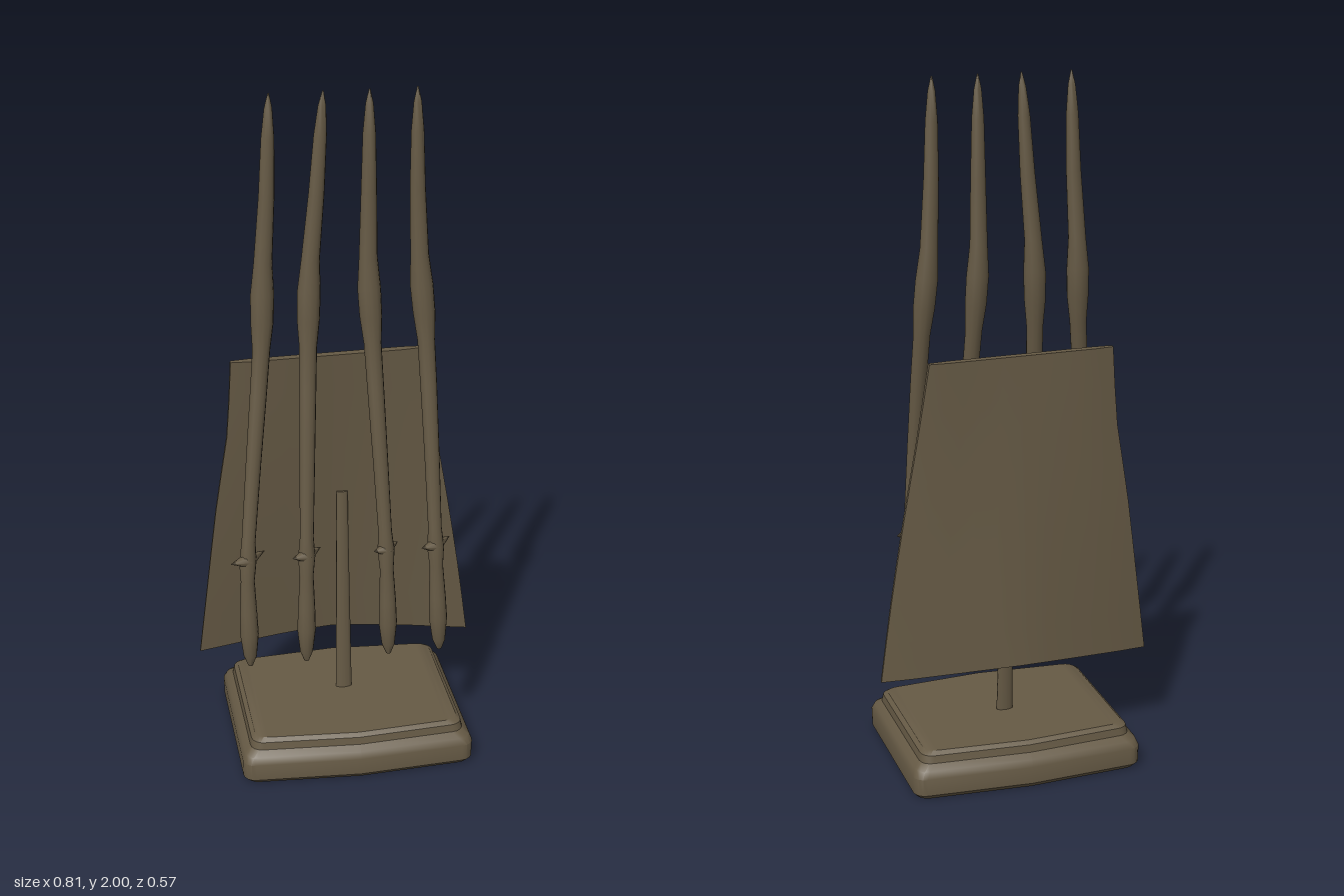
import * as THREE from 'three';
import { toCreasedNormals } from 'three/addons/utils/BufferGeometryUtils.js';

// Skin a stack of closed rings (each turning from +x towards +z), capped at both ends
function loft(rings, crease) {
  const n = rings[0].length;
  const pos = [], idx = [];
  rings.forEach(r => r.forEach(p => pos.push(...p)));
  for (let i = 0; i < rings.length - 1; i++) {
    for (let j = 0; j < n; j++) {
      const k = (j + 1) % n;
      const a = i * n + j, b = i * n + k, c = b + n, d = a + n;
      idx.push(a, d, c, a, c, b);
    }
  }
  // caps, joined across so that long thin sections stay clean
  const top = (rings.length - 1) * n;
  for (let lo = 0, hi = n - 1; lo + 1 <= hi - 1 || hi - lo > 1; lo++, hi--) {
    idx.push(lo, lo + 1, hi, top + lo, top + hi, top + lo + 1);
    if (hi - 1 > lo + 1) idx.push(lo + 1, hi - 1, hi, top + lo + 1, top + hi, top + hi - 1);
  }
  const g = new THREE.BufferGeometry();
  g.setAttribute('position', new THREE.Float32BufferAttribute(pos, 3));
  g.setIndex(idx);
  return toCreasedNormals(g, crease);
}

// Smooth curve through [y, value] knots, read off by y
function along(knots, y) {
  let i = 0;
  while (i < knots.length - 2 && y > knots[i + 1][0]) i++;
  const slope = k => {
    const a = knots[Math.max(k - 1, 0)], b = knots[Math.min(k + 1, knots.length - 1)];
    return (b[1] - a[1]) / (b[0] - a[0]);
  };
  const [y0, v0] = knots[i], [y1, v1] = knots[i + 1];
  const h = y1 - y0, t = (y - y0) / h, t2 = t * t, t3 = t2 * t;
  return (2 * t3 - 3 * t2 + 1) * v0 + (t3 - 2 * t2 + t) * h * slope(i)
    + (3 * t2 - 2 * t3) * v1 + (t3 - t2) * h * slope(i + 1);
}

// Six-sided outline with rounded corners, shrunk by an inset
function baseRing(y, inset) {
  const w = 0.3425 - inset, side = 0.265 - inset, apex = 0.284 - inset, r = 0.035;
  const corner = [];
  for (let i = 0; i <= 4; i++) {
    const a = (i / 4) * Math.PI / 2;
    corner.push([w - r + r * Math.cos(a), side - r + r * Math.sin(a)]);
  }
  const front = [...corner, [0, apex], ...corner.map(([x, z]) => [-x, z]).reverse()];
  const back = front.map(([x, z]) => [-x, -z]);
  return [...front, ...back].map(([x, z]) => [x + 0.0225, y, z]);
}

// One horizontal slice of the bowed panel; v runs from bottom to top
function panelRing(v) {
  const N = 10, front = [], back = [];
  const left = -along([[0, 0.408], [0.25, 0.38], [0.55, 0.345], [0.75, 0.315], [1, 0.3]], v);
  const right = along([[0, 0.405], [0.25, 0.372], [0.55, 0.325], [0.75, 0.29], [1, 0.25]], v);
  const half = 0.007 + 0.005 * v;
  for (let i = 0; i <= N; i++) {
    const s = i / N, u = 1 - 2 * s;
    const bow = 1 - Math.pow(Math.abs(u), 1.35);
    const x = right + (left - right) * s;
    const edge = -0.047 + v * (0.002 + 0.018 * s);
    const z = edge - 0.053 * (1 - v) * bow;
    const y = THREE.MathUtils.lerp(0.283 + 0.02 * bow, 1.22, v);
    const t = half * (Math.abs(u) === 1 ? 0.6 : 1);
    front.push([x, y, z + t]);
    back.unshift([x, y, z - t]);
  }
  return [...front, ...back];
}

const LEVELS = [0.34, 0.65, 1.0, 1.3, 1.5, 1.7, 2.0];
const LEAN_Z = [0.137, 0.118, 0.083, 0.045, 0.034, 0.034, 0.034];
const GIRTH = [[0.33, 0.007], [0.36, 0.019], [0.43, 0.027], [0.5, 0.025], [0.6, 0.02], [0.66, 0.025],
  [0.72, 0.02], [0.95, 0.022], [1.15, 0.024], [1.28, 0.025], [1.36, 0.032], [1.44, 0.033], [1.53, 0.026],
  [1.72, 0.022], [1.88, 0.018], [1.96, 0.011], [2.0, 0.002]];

// Curved weapon with a swollen middle, pointed tip and small cross guard
function makeSpear(xs, guardHalf, mat) {
  const spear = new THREE.Group();
  spear.name = 'spear';
  const xKnots = LEVELS.map((y, i) => [y, xs[i]]);
  const zKnots = LEVELS.map((y, i) => [y, LEAN_Z[i]]);
  const rings = [];
  const sides = 12;
  GIRTH.forEach(([y, r]) => {
    const cx = along(xKnots, y), cz = along(zKnots, y);
    const ring = [];
    for (let j = 0; j < sides; j++) {
      const a = (j / sides) * Math.PI * 2;
      ring.push([cx + r * Math.cos(a), y, cz + 0.85 * r * Math.sin(a)]);
    }
    rings.push(ring);
  });
  const shaft = new THREE.Mesh(loft(rings, 1), mat);
  shaft.name = 'spearShaft';
  spear.add(shaft);

  // guard spikes point out to both sides, turned on the shaft
  const guard = new THREE.Group();
  guard.name = 'crossGuard';
  guard.position.set(along(xKnots, 0.665), 0.665, along(zKnots, 0.665));
  guard.rotation.y = 0.56;
  for (const s of [1, -1]) {
    const spike = new THREE.Mesh(new THREE.ConeGeometry(0.022, guardHalf, 8), mat);
    spike.name = 'guardSpike';
    spike.rotation.z = -s * (Math.PI / 2 - 0.15);
    spike.position.set(s * guardHalf / 2, 0.004, 0);
    guard.add(spike);
  }
  spear.add(guard);
  return spear;
}

export function createModel() {
  const model = new THREE.Group();
  model.name = 'spearDisplay';
  const bronze = new THREE.MeshStandardMaterial({ color: 0x665a45 });
  bronze.name = 'dark bronze';
  const add = (name, geometry) => {
    const mesh = new THREE.Mesh(geometry, bronze);
    mesh.name = name;
    model.add(mesh);
    return mesh;
  };

  // stepped plinth
  const steps = [[0, 0.012], [0.014, 0.001], [0.065, 0], [0.085, 0.008], [0.1, 0.026], [0.122, 0.03], [0.132, 0.042]];
  add('base', loft(steps.map(([y, inset]) => baseRing(y, inset)), 0.6));

  // flat post leaning back to the panel
  const post = add('post', new THREE.CylinderGeometry(0.017, 0.025, 0.65, 10));
  post.scale.z = 0.45;
  post.position.set(0.023, 0.45, -0.038);
  post.rotation.x = -0.055;

  // bowed back panel
  const slices = [];
  for (let i = 0; i <= 8; i++) slices.push(panelRing(i / 8));
  add('backPanel', loft(slices, 0.7));

  // four spears, fanned at the foot
  const spears = [
    [[-0.28, -0.28, -0.25, -0.22, -0.213, -0.2, -0.19], 0.064],
    [[-0.115, -0.11, -0.1, -0.09, -0.083, -0.065, -0.045], 0.055],
    [[0.128, 0.122, 0.105, 0.09, 0.08, 0.08, 0.08], 0.048],
    [[0.28, 0.268, 0.255, 0.242, 0.225, 0.215, 0.21], 0.058],
  ];
  spears.forEach(([xs, guard]) => model.add(makeSpear(xs, guard, bronze)));
  return model;
}
